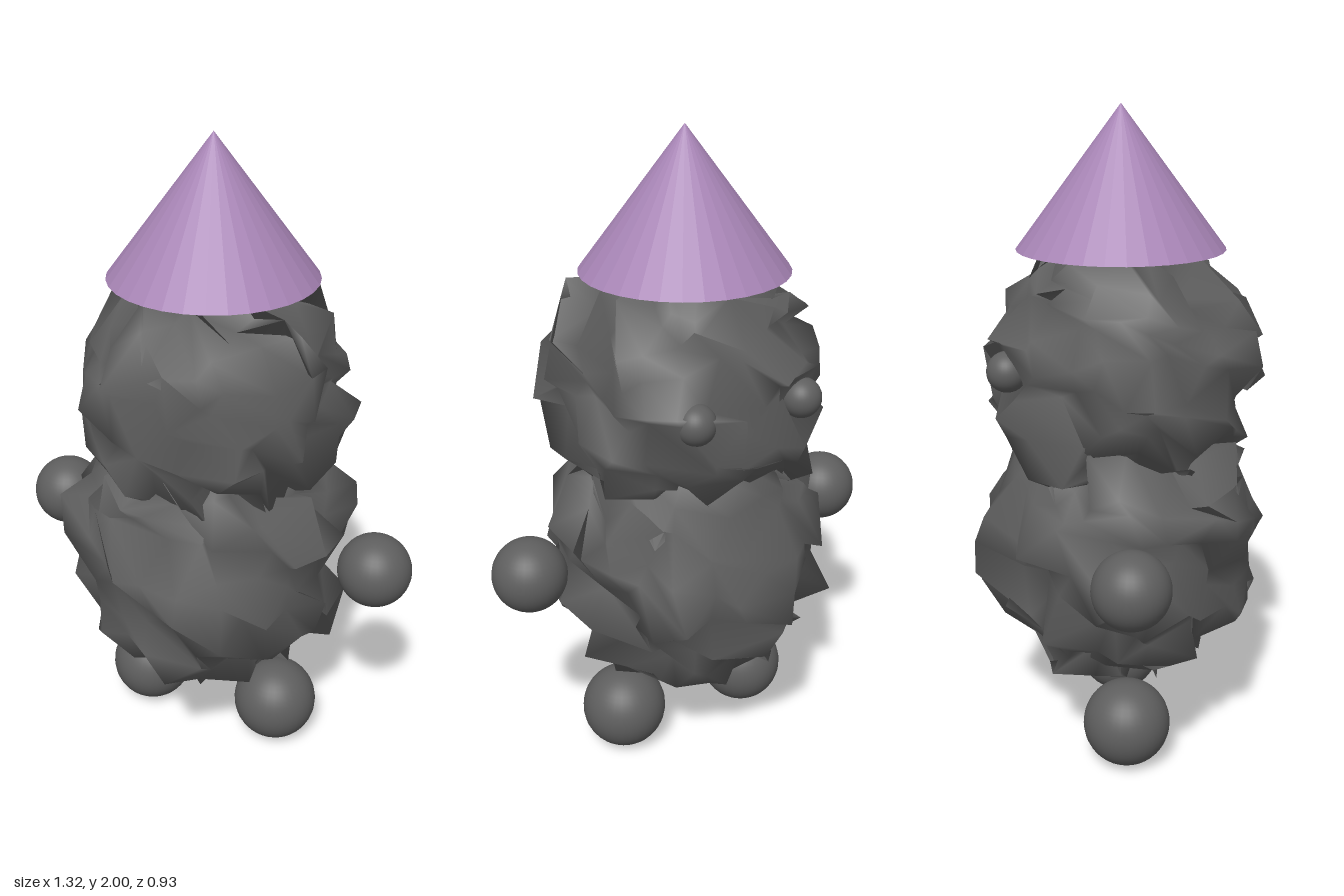
import * as THREE from 'three';
import { mergeVertices } from 'three/addons/utils/BufferGeometryUtils.js';

const grey = new THREE.MeshStandardMaterial({ color: 0x5e5e5e, side: THREE.DoubleSide });
grey.name = 'charcoal grey';
const lilac = new THREE.MeshStandardMaterial({ color: 0xa885b6, flatShading: true });
lilac.name = 'lilac';

// Small seeded generator returning values in -1..1
function seeded(seed) {
  let s = seed;
  return () => {
    s = (s * 16807) % 2147483647;
    return (s / 2147483647) * 2 - 1;
  };
}

// Sphere whose vertices are shaken in every direction to make a ragged coat
function raggedSphere(radius, jitter, seed) {
  const base = new THREE.SphereGeometry(radius, 24, 16);
  base.deleteAttribute('uv');
  base.deleteAttribute('normal');
  const geometry = mergeVertices(base, 1e-4);
  const random = seeded(seed);
  const p = geometry.attributes.position;
  for (let i = 0; i < p.count; i++) {
    p.setXYZ(
      i,
      p.getX(i) + random() * jitter,
      p.getY(i) + random() * jitter,
      p.getZ(i) + random() * jitter
    );
  }
  geometry.computeVertexNormals();
  return geometry;
}

export function createModel() {
  const group = new THREE.Group();
  group.name = 'shaggyFigure';

  const add = (name, geometry, material, x, y, z) => {
    const mesh = new THREE.Mesh(geometry, material);
    mesh.name = name;
    mesh.position.set(x, y, z);
    group.add(mesh);
  };

  // Shaggy body and head
  add('body', raggedSphere(0.425, 0.066, 4217), grey, -0.005, 0.7, -0.005);
  add('head', raggedSphere(0.392, 0.06, 9931), grey, 0, 1.24, -0.005);

  // Pointed hat
  add('hat', new THREE.ConeGeometry(0.31, 0.412, 32), lilac, 0, 1.794, -0.01);

  // Paired round hands, feet and eyes; the eyes sit on the -z side
  const ball = (r) => new THREE.SphereGeometry(r, 32, 24);
  const hand = ball(0.113), foot = ball(0.135), eye = ball(0.06);
  for (const [side, s] of [['left', 1], ['right', -1]]) {
    add(side + 'Hand', hand, grey, s * 0.545, 0.74, -0.01);
    add(side + 'Foot', foot, grey, s * 0.233, 0.137, -0.005);
    add(side + 'Eye', eye, grey, s * 0.18, 1.265, -0.347);
  }
  return group;
}
